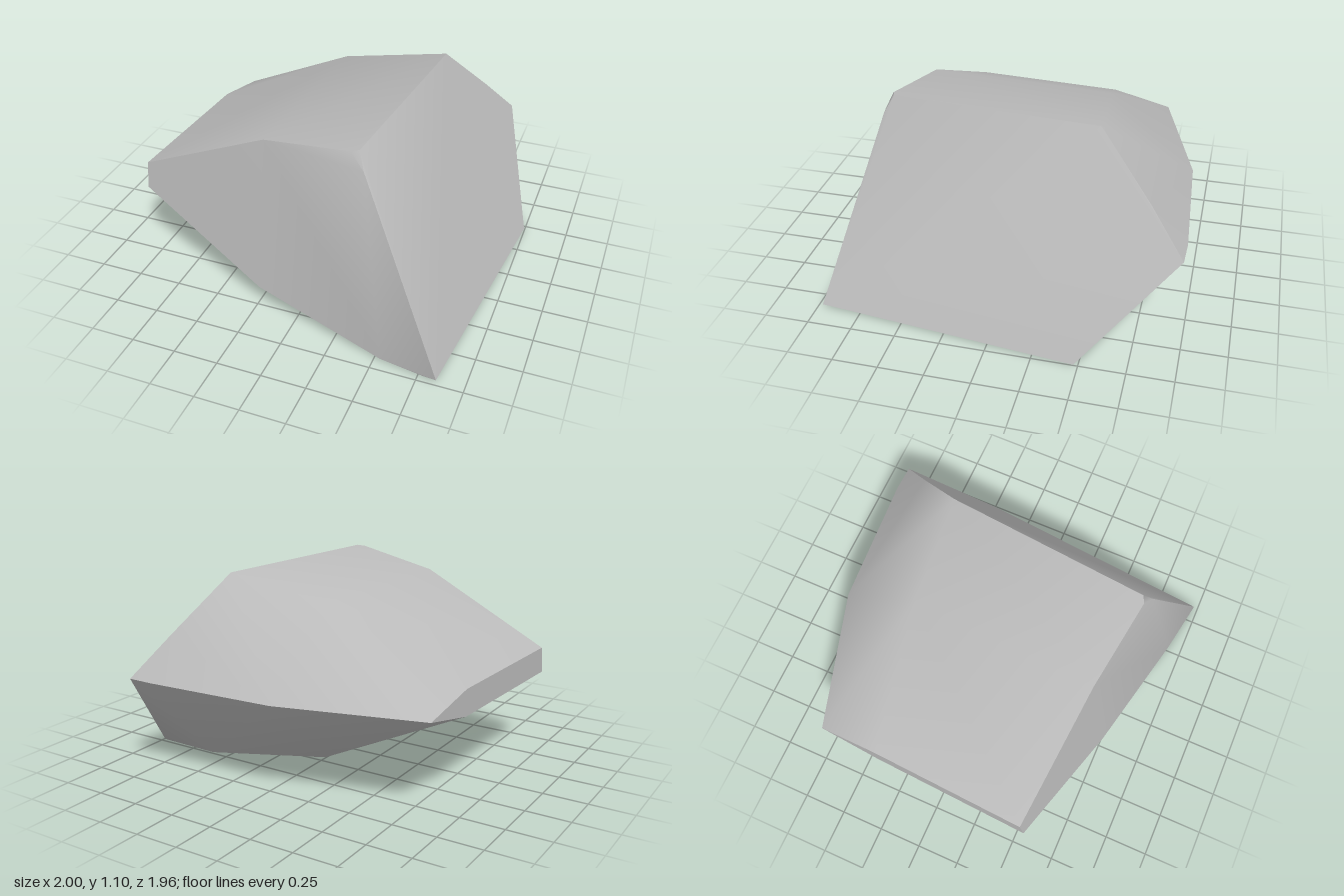
import * as THREE from 'three';
import { ConvexGeometry } from 'three/addons/geometries/ConvexGeometry.js';
import { toCreasedNormals } from 'three/addons/utils/BufferGeometryUtils.js';

// Cross-sections of the stone from its narrow end to its broad cut face,
// each running from the top front over the back ridge to the bottom front.
const sections = [
  // narrow end
  [[-1, 0.64, 0.535], [-0.95, 0.635, -0.355], [-0.93, 0.56, -0.705], [-0.95, 0.487, -0.355], [-1, 0.49, 0.56]],
  // shoulder
  [[-0.23, 1, 0.615], [-0.17, 0.995, -0.45], [-0.15, 0.567, -0.935], [-0.16, 0.125, -0.45], [-0.23, 0.135, 0.76]],
  // crown and start of the flat base
  [[0.28, 1.085, 0.69], [0.6, 0.567, -0.98], [0.61, 0, -0.485], [0.53, 0, 0.92]],
  // slanted cut face, with a small chipped corner at the top front
  [[0.36, 1, 0.72], [0.32, 1.09, 0.67], [0.43, 1.1, -0.485], [0.62, 0.785, -0.785],
    [0.755, 0.565, -0.975], [0.995, 0, -0.475], [0.85, 0.01, 0.975], [0.78, 0, 0.96]],
];

export function createModel() {
  const group = new THREE.Group();
  group.name = 'rock';

  const stone = new THREE.MeshStandardMaterial({ color: 0xbababa });
  stone.name = 'stone grey';

  // Wrap the sections in one hull: soft across the bends, sharp at the cut faces
  const points = sections.flat().map((p) => new THREE.Vector3(...p));
  const geometry = toCreasedNormals(new ConvexGeometry(points), THREE.MathUtils.degToRad(58));

  const body = new THREE.Mesh(geometry, stone);
  body.name = 'rockBody';
  group.add(body);
  return group;
}
